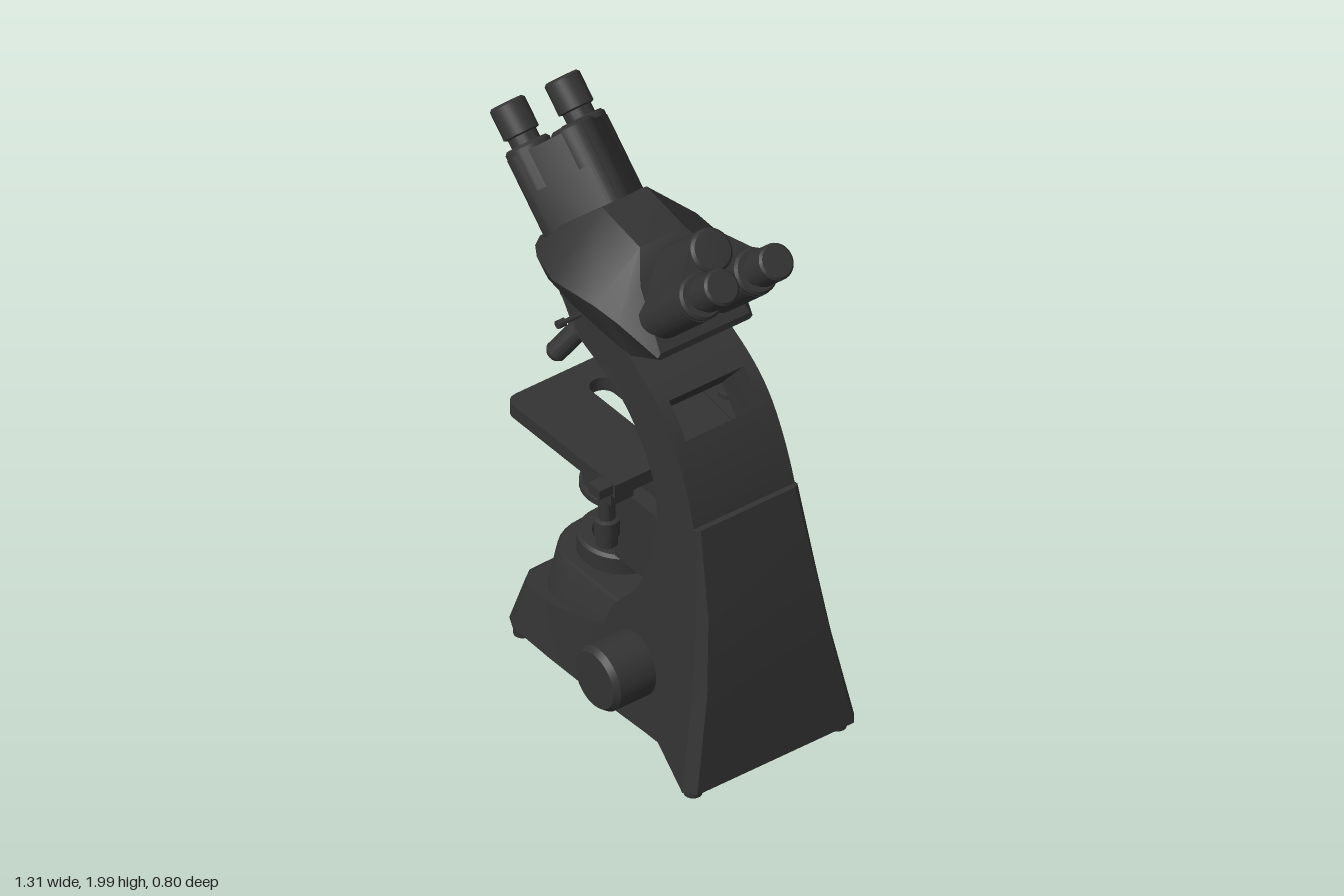
import * as THREE from 'three';
import { toCreasedNormals } from 'three/addons/utils/BufferGeometryUtils.js';

const V2 = (x, y) => new THREE.Vector2(x, y);
const material = new THREE.MeshStandardMaterial({ color: 0x333333 });

function add(parent, name, geometry, x = 0, y = 0, z = 0) {
  const mesh = new THREE.Mesh(toCreasedNormals(geometry, 0.6), material);
  mesh.name = name;
  mesh.position.set(x, y, z);
  parent.add(mesh);
  return mesh;
}

const box = (x0, x1, y0, y1, z0, z1) =>
  new THREE.BoxGeometry(x1 - x0, y1 - y0, z1 - z0).translate((x0 + x1) / 2, (y0 + y1) / 2, (z0 + z1) / 2);

// Turned part from [radius, height] pairs, bottom to top
const lathe = (pairs) => new THREE.LatheGeometry(pairs.map(([r, y]) => V2(r, y)), 36);

// Skin over rings of [x, y, z] points, with both ends closed
function loft(rings) {
  const n = rings[0].length, pos = rings.flat(2), idx = [];
  for (let j = 0; j < rings.length - 1; j++)
    for (let i = 0; i < n; i++) {
      const a = j * n + i, b = j * n + (i + 1) % n;
      idx.push(a, b, b + n, a, b + n, a + n);
    }
  const last = (rings.length - 1) * n;
  for (let i = 1; i < n - 1; i++) idx.push(0, i + 1, i, last, last + i, last + i + 1);
  const g = new THREE.BufferGeometry();
  g.setAttribute('position', new THREE.Float32BufferAttribute(pos, 3));
  g.setIndex(idx);
  return g;
}

// Half width of the arm at a point of its side profile
function armWidth(x, y) {
  const steps = [[0, 0.25], [0.65, 0.222], [0.95, 0.203], [1.2, 0.198], [1.5, 0.185]];
  let w = 0.185;
  for (let i = 0; i < 4; i++) {
    const [y0, w0] = steps[i], [y1, w1] = steps[i + 1];
    if (y >= y0 && y < y1) w = w0 + (w1 - w0) * (y - y0) / (y1 - y0);
  }
  return x < -0.15 ? w * (1 - 0.3 * (-0.15 - x) / 0.19) : w;
}

// Curved arm, cut through by a handle slot
function buildArm(root) {
  const arm = new THREE.Group();
  arm.name = 'arm';
  root.add(arm);
  const curve = (p) => new THREE.SplineCurve(p.map(([x, y]) => V2(x, y))).getPoints(40);
  const outer = curve([[0.6, 0.04], [0.58, 0.2], [0.54, 0.65], [0.49, 0.95], [0.4, 1.18],
    [0.29, 1.32], [0.1, 1.43], [-0.1, 1.475], [-0.34, 1.485]]);
  const inner = curve([[0, 0.04], [0.08, 0.385], [0.23, 0.58], [0.3, 0.82], [0.27, 1.03],
    [0.17, 1.18], [0.05, 1.27], [-0.12, 1.34], [-0.34, 1.44]]);
  const slab = (name, from, to, z0, z1) => {
    const shape = new THREE.Shape([...outer.slice(from, to + 1), ...inner.slice(from, to + 1).reverse()]);
    const g = new THREE.ExtrudeGeometry(shape, { depth: z1 - z0, bevelEnabled: false }).translate(0, 0, z0);
    const p = g.attributes.position;
    for (let i = 0; i < p.count; i++) p.setZ(i, p.getZ(i) * armWidth(p.getX(i), p.getY(i)) / 0.2);
    add(arm, name, g);
  };
  slab('armSideLeft', 0, 40, 0.155, 0.2);
  slab('armSideRight', 0, 40, -0.2, -0.155);
  slab('armLowerCore', 0, 21, -0.155, 0.155);
  slab('armUpperCore', 25, 40, -0.155, 0.155);
}

function buildBase(root) {
  // [bottom x, top x, top y, bottom half width, top half width]
  const rows = [[-0.5, -0.455, 0.19, 0.12, 0.1], [-0.485, -0.442, 0.2, 0.18, 0.15], [-0.45, -0.41, 0.205, 0.225, 0.19],
    [-0.4, -0.36, 0.21, 0.25, 0.215], [-0.2, -0.2, 0.235, 0.255, 0.23], [0, 0, 0.3, 0.255, 0.235],
    [0.15, 0.15, 0.365, 0.255, 0.235], [0.3, 0.3, 0.48, 0.25, 0.23], [0.5, 0.5, 0.6, 0.25, 0.22]];
  add(root, 'base', loft(rows.map(([xb, xt, y, wb, wt]) =>
    [[xt, y, -wt], [xt, y, wt], [xb, 0.04, wb], [xb, 0.04, -wb]])));
  // Raised platform with a round nose
  const ring = (y, nose, w) => {
    const pts = [[0.25, y, w], [0.25, y, -w]];
    for (let i = 0; i <= 16; i++) {
      const a = Math.PI * i / 16;
      pts.push([-0.2 - (-0.2 - nose) * Math.sin(a), y, -w * Math.cos(a)]);
    }
    return pts;
  };
  add(root, 'platform', loft([ring(0.15, -0.43, 0.215), ring(0.375, -0.375, 0.18), ring(0.39, -0.36, 0.17)]));
  // Flared rear cover, narrowing upward
  const cover = [[0.035, 0.355, 0.245, 0.615, 0.345, 0.655, 0.315], [0.38, 0.4, 0.238, 0.58, 0.278, 0.622, 0.25],
    [0.65, 0.435, 0.225, 0.55, 0.238, 0.583, 0.215], [0.95, 0.48, 0.206, 0.497, 0.208, 0.51, 0.19]];
  add(root, 'rearCover', loft(cover.map(([y, x0, w0, x1, w1, x2, w2]) =>
    [[x0, y, w0], [x1, y, w1], [x2, y, w2], [x2, y, -w2], [x1, y, -w1], [x0, y, -w0]])));
  const knob = [[0, 0], [0.115, 0], [0.115, 0.38], [0.1, 0.4], [0, 0.4]];
  for (const s of [1, -1]) {
    add(root, 'focusKnob', lathe(knob), 0.225, 0.275, 0).rotation.x = s * Math.PI / 2;
    add(root, 'frontFoot', new THREE.CylinderGeometry(0.03, 0.03, 0.06, 20), -0.4, 0.03, s * 0.21);
    add(root, 'rearFoot', new THREE.CylinderGeometry(0.03, 0.03, 0.06, 20), 0.6, 0.03, s * 0.29);
  }
  add(root, 'lamp', lathe([[0.12, 0.38], [0.12, 0.4], [0.15, 0.405], [0.15, 0.465], [0.14, 0.475],
    [0.1, 0.475], [0.09, 0.45], [0, 0.455]]), -0.145);
}

function buildStage(root) {
  // Plate with a long light opening
  const plate = new THREE.Shape();
  plate.moveTo(0.19, -0.29).lineTo(0.19, 0.29).lineTo(-0.34, 0.29)
    .quadraticCurveTo(-0.39, 0.29, -0.39, 0.24).lineTo(-0.39, -0.24).quadraticCurveTo(-0.39, -0.29, -0.34, -0.29);
  const slot = new THREE.Path();
  slot.absarc(-0.02, 0, 0.045, -Math.PI / 2, Math.PI / 2).absarc(-0.25, 0, 0.045, Math.PI / 2, Math.PI * 1.5);
  plate.holes.push(slot);
  add(root, 'stage', new THREE.ExtrudeGeometry(plate, { depth: 0.05, bevelEnabled: false }).rotateX(-Math.PI / 2), 0, 0.933);
  add(root, 'stageCrossBar', box(0.12, 0.18, 0.945, 0.98, 0.2, 0.345));
  const slide = new THREE.Shape([V2(-0.15, 0.27), V2(-0.06, 0.325), V2(0.19, 0.325), V2(0.19, 0.21), V2(-0.15, 0.25)]);
  add(root, 'slideHolder', new THREE.ExtrudeGeometry(slide, { depth: 0.045, bevelEnabled: false }).rotateX(-Math.PI / 2), 0, 0.945);
  add(root, 'slideKnob', lathe([[0, 0.97], [0.035, 0.97], [0.035, 1.005], [0, 1.01]]), 0.03, 0, -0.29);
  add(root, 'stageControl', lathe([[0, 0.68], [0.035, 0.68], [0.035, 0.72], [0.042, 0.72], [0.042, 0.78], [0.028, 0.785],
    [0.028, 0.88], [0.04, 0.88], [0.04, 0.95]]), 0.095, 0, 0.25);
  add(root, 'controlMount', box(0.02, 0.17, 0.89, 0.94, 0.2, 0.29));
  // Focus carriage between stage and arm
  add(root, 'carriage', box(0.06, 0.33, 0.58, 0.865, -0.19, 0.19));
  add(root, 'stageSupport', box(0.09, 0.2, 0.86, 0.94, -0.13, 0.13));
  add(root, 'carriageKnob', lathe([[0, 0], [0.07, 0], [0.07, 0.04], [0.06, 0.05], [0, 0.05]]), 0.2, 0.72, -0.19)
    .rotation.x = -Math.PI / 2;
  // Condenser and its holder
  add(root, 'condenser', lathe([[0, 0.645], [0.13, 0.645], [0.145, 0.66], [0.145, 0.68], [0.115, 0.685], [0.11, 0.775],
    [0.09, 0.785], [0.09, 0.805], [0.07, 0.81], [0.07, 0.835], [0.055, 0.85], [0, 0.85]]), -0.14);
  add(root, 'condenserArm', box(-0.05, 0.07, 0.635, 0.665, -0.06, 0.06));
  add(root, 'condenserMount', box(0.02, 0.08, 0.6, 0.71, -0.09, 0.09));
}

function buildTurret(root) {
  const turret = new THREE.Group();
  turret.name = 'turret';
  turret.position.set(-0.125, 1.476, 0);
  turret.rotation.z = -0.48;
  root.add(turret);
  add(turret, 'turretBody', lathe([[0, -0.215], [0.1, -0.21], [0.145, -0.16], [0.15, -0.1], [0.12, -0.05], [0, -0.05]]));
  for (let k = 0; k < 4; k++) {
    const holder = new THREE.Group();
    holder.name = 'objectiveHolder';
    holder.rotation.y = k * Math.PI / 2;
    turret.add(holder);
    add(holder, 'objective', lathe([[0, -0.387], [0.025, -0.387], [0.036, -0.372], [0.036, -0.255],
      [0.045, -0.25], [0.045, -0.15]])).rotation.z = 0.48;
  }
}

// Twin eyepieces on one side; s is -1 or 1, (x, y) the tip of the eyepieces
function buildEyepieces(root, s, x, y) {
  const group = new THREE.Group();
  group.name = 'eyepieceUnit';
  const d = new THREE.Vector3(s * 0.72, 0.69, 0).normalize();
  const n = new THREE.Vector3(-d.y * s, d.x * s, 0);
  group.setRotationFromMatrix(new THREE.Matrix4().makeBasis(n.clone().cross(d), n, d));
  group.position.set(x, y, 0);
  root.add(group);
  // Housing: two tubes below, one round port above
  const shape = new THREE.Shape();
  shape.moveTo(-0.19, 0).absarc(-0.11, 0, 0.08, Math.PI, Math.PI * 2)
    .absarc(0.11, 0, 0.08, Math.PI, Math.PI * 2)
    .lineTo(0.185, 0.03).absarc(0, 0.12, 0.075, Math.PI * 0.32, Math.PI * 0.68).lineTo(-0.185, 0.03);
  add(group, 'tubeHousing', new THREE.ExtrudeGeometry(shape, { depth: 0.37, bevelEnabled: false, curveSegments: 20 }), 0, 0, -0.54);
  const port = add(group, 'port', lathe([[0, -0.3], [0.075, -0.3], [0.075, -0.165], [0.065, -0.155], [0, -0.15]]), 0, 0.12, 0);
  port.rotation.x = Math.PI / 2;
  for (const side of [-1, 1])
    add(group, 'eyepiece', lathe([[0.078, -0.3], [0.078, -0.155], [0.07, -0.145], [0.05, -0.145], [0.05, -0.115], [0.062, -0.11],
      [0.062, -0.008], [0.054, 0], [0, 0]]), side * 0.11).rotation.x = Math.PI / 2;
}

function buildHead(root) {
  add(root, 'neck', new THREE.CylinderGeometry(0.17, 0.17, 0.06, 36), -0.13, 1.475, 0);
  // [x, bottom y, half width, middle y, half width, top y, half width]
  const rows = [[-0.36, 1.5, 0.15, 1.57, 0.19, 1.6, 0.17], [-0.28, 1.49, 0.2, 1.6, 0.245, 1.68, 0.17],
    [-0.14, 1.475, 0.21, 1.61, 0.29, 1.81, 0.09], [0.06, 1.445, 0.2, 1.62, 0.275, 1.77, 0.09],
    [0.14, 1.43, 0.19, 1.58, 0.24, 1.69, 0.15], [0.285, 1.495, 0.18, 1.505, 0.19, 1.52, 0.18]];
  add(root, 'head', loft(rows.map(([x, yb, wb, ym, wm, yt, wt]) =>
    [[x, yt, -wt], [x, yt, wt], [x, ym, wm], [x, yb, wb], [x, yb, -wb], [x, ym, -wm]])));
  buildEyepieces(root, -1, -0.616, 1.952);
  buildEyepieces(root, 1, 0.52, 1.9);
  // Small clamp screw on the arm
  add(root, 'clampScrew', lathe([[0, 0], [0.008, 0], [0.008, 0.07], [0.014, 0.07], [0.014, 0.1], [0, 0.1]]), -0.14, 1.42, 0.17)
    .rotation.x = Math.PI / 2;
}

export function createModel() {
  const root = new THREE.Group();
  root.name = 'microscope';
  buildBase(root);
  buildArm(root);
  buildStage(root);
  buildTurret(root);
  buildHead(root);
  return root;
}
